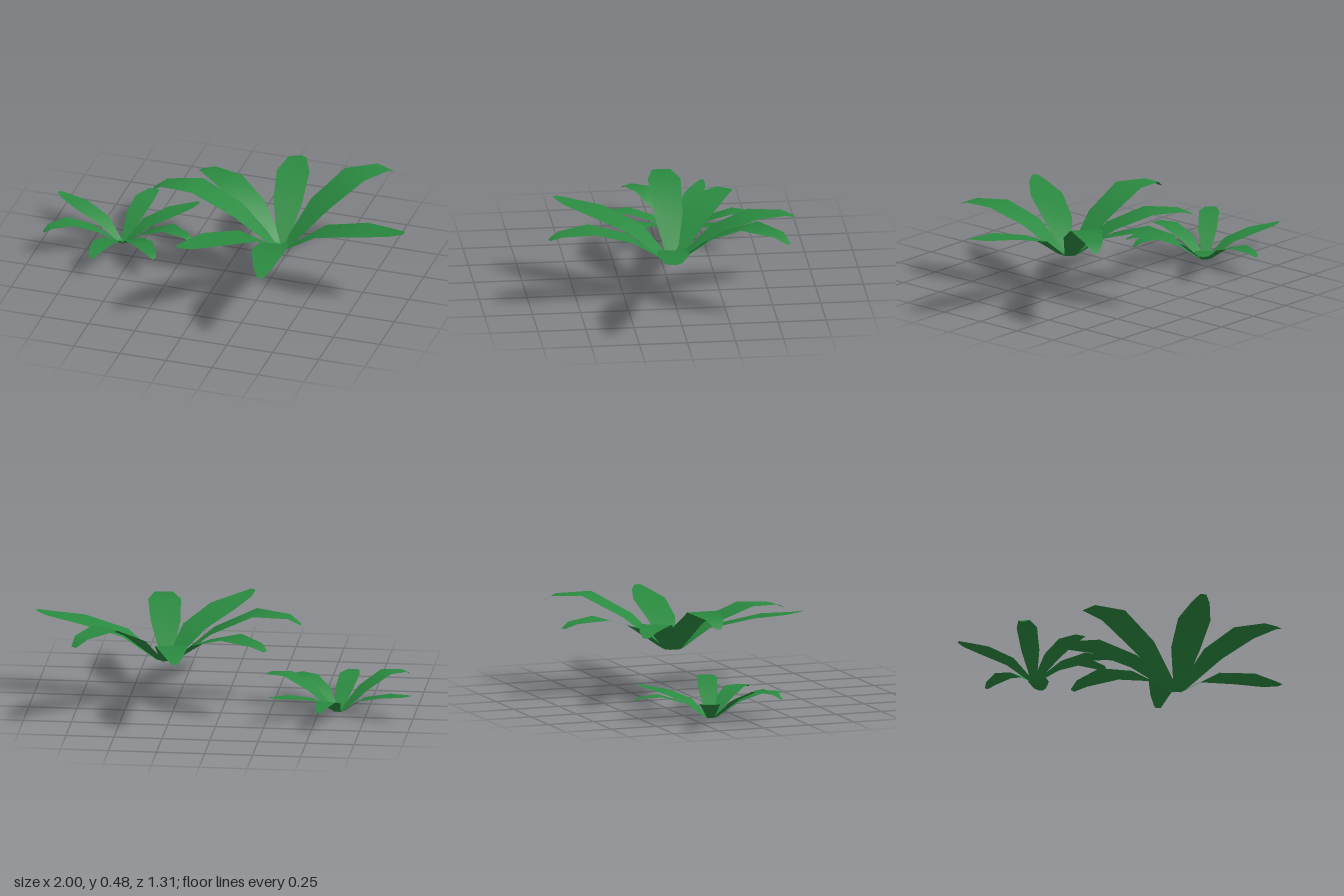
import * as THREE from 'three';

const leafMaterial = new THREE.MeshStandardMaterial({ color: 0x2a8a40, side: THREE.DoubleSide });

// Half width of a blade at each station from root to tip
const HALF_WIDTHS = [0.012, 0.03, 0.076, 0.085, 0.047, 0.016];

// Side profiles of the blades: distance from the centre, height
const PROFILES = {
  rising: [[0, 0], [0.045, 0.004], [0.22, 0.13], [0.45, 0.19], [0.62, 0.21], [0.69, 0.225]],
  arched: [[0, 0], [0.045, 0.004], [0.24, 0.165], [0.46, 0.27], [0.64, 0.255], [0.7, 0.215]],
  drooping: [[0, 0], [0.045, 0.004], [0.23, 0.135], [0.43, 0.2], [0.6, 0.19], [0.66, 0.165]],
};

// Direction in degrees (from +x towards +z) and profile of each leaf
const LEAVES = [
  [6, 'rising'], [82, 'drooping'], [124, 'rising'], [181, 'arched'],
  [213, 'drooping'], [260, 'drooping'], [307, 'arched'],
];

// Smooth strip, three vertices wide, running outwards along +x
function leafGeometry(profile) {
  const geometry = new THREE.PlaneGeometry(1, 1, 2, profile.length - 1);
  const position = geometry.attributes.position;
  profile.forEach(([reach, height], row) => {
    for (let column = 0; column < 3; column++) {
      position.setXYZ(row * 3 + column, reach, height, (column - 1) * HALF_WIDTHS[row]);
    }
  });
  // Reverse the winding so that the fronts face up
  const index = geometry.index.array;
  for (let i = 0; i < index.length; i += 3) {
    [index[i + 1], index[i + 2]] = [index[i + 2], index[i + 1]];
  }
  geometry.computeVertexNormals();
  if (geometry.attributes.normal.getY(7) < 0) {
    for (let i = 0; i < index.length; i += 3) {
      [index[i + 1], index[i + 2]] = [index[i + 2], index[i + 1]];
    }
    geometry.computeVertexNormals();
  }
  return geometry;
}

// Rosette of seven leaves
function createPlant(name) {
  const plant = new THREE.Group();
  plant.name = name;
  for (const [degrees, type] of LEAVES) {
    const leaf = new THREE.Mesh(leafGeometry(PROFILES[type]), leafMaterial);
    leaf.name = type + 'Leaf';
    leaf.rotation.y = -THREE.MathUtils.degToRad(degrees);
    plant.add(leaf);
  }
  return plant;
}

export function createModel() {
  const model = new THREE.Group();
  model.name = 'leafyPlants';

  const large = createPlant('largePlant');
  large.position.set(0.31, 0.205, 0);

  // Smaller copy, turned and standing lower
  const small = createPlant('smallPlant');
  small.position.set(-0.6, 0, -0.14);
  small.scale.setScalar(0.62);
  small.rotation.y = -THREE.MathUtils.degToRad(196);

  model.add(large, small);
  return model;
}
